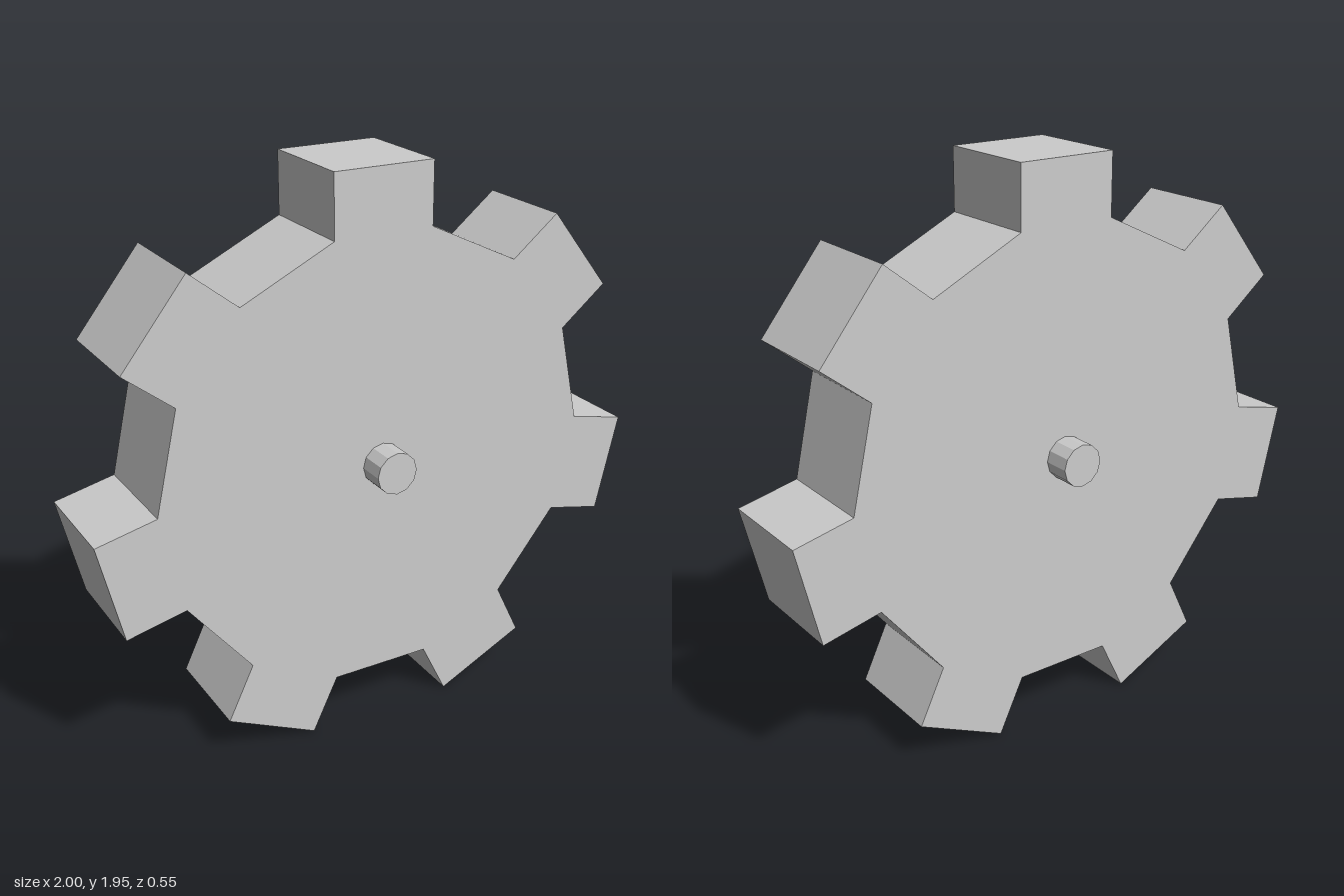
import * as THREE from 'three';

const TEETH = 7;
const CENTER_Y = 0.964;
const HALF_WIDTH = 0.176; // half the width of a tooth
const ROOT = 0.774;       // centre to tooth base
const TIP = 0.985;        // centre to tooth tip
const THICKNESS = 0.364;
const AXLE_LENGTH = 0.55;
const AXLE_RADIUS = 0.073;

export function createModel() {
  const group = new THREE.Group();
  const material = new THREE.MeshStandardMaterial({ color: 0xcccccc, flatShading: true });

  // Outline: one square tooth repeated around the centre, straight roots between
  const tooth = [[-HALF_WIDTH, ROOT], [-HALF_WIDTH, TIP], [HALF_WIDTH, TIP], [HALF_WIDTH, ROOT]];
  const outline = [];
  for (let i = 0; i < TEETH; i++) {
    const angle = -i * 2 * Math.PI / TEETH;
    for (const [x, y] of tooth) {
      outline.push(new THREE.Vector2(x, y).rotateAround(new THREE.Vector2(), angle));
    }
  }
  const gearGeometry = new THREE.ExtrudeGeometry(new THREE.Shape(outline), {
    depth: THICKNESS, bevelEnabled: false,
  });
  gearGeometry.translate(0, 0, -THICKNESS / 2);
  const gear = new THREE.Mesh(gearGeometry, material);
  gear.name = 'gearWheel';
  gear.position.y = CENTER_Y;
  group.add(gear);

  // Axle stub projecting from both faces
  for (const side of [1, -1]) {
    const length = (AXLE_LENGTH - THICKNESS) / 2;
    const stub = new THREE.Mesh(
      new THREE.CylinderGeometry(AXLE_RADIUS, AXLE_RADIUS, length, 12).rotateX(Math.PI / 2),
      material,
    );
    stub.name = side > 0 ? 'frontAxle' : 'backAxle';
    stub.position.set(0, CENTER_Y, side * (THICKNESS + length) / 2);
    group.add(stub);
  }

  return group;
}
